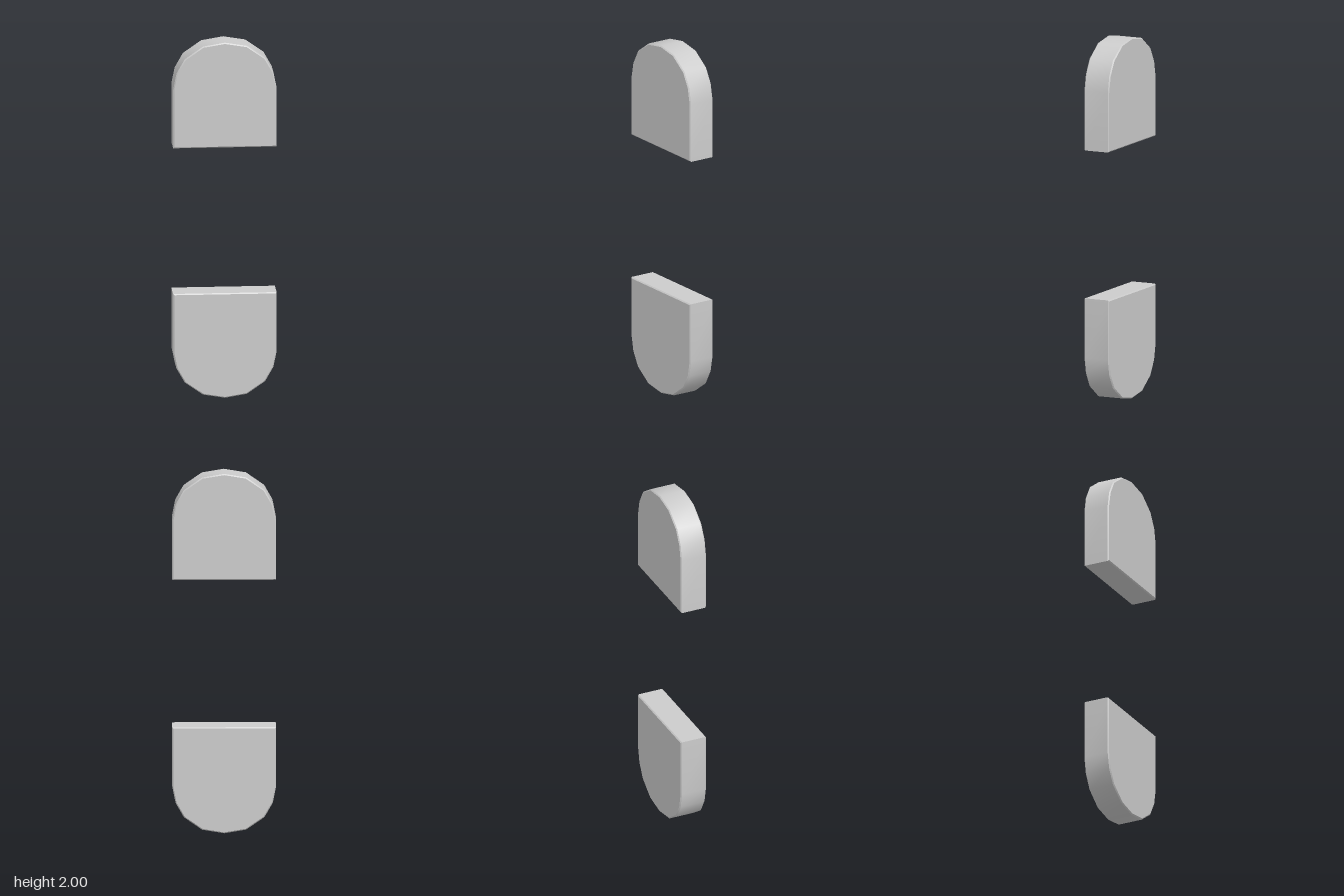
import * as THREE from 'three';
import { toCreasedNormals } from 'three/addons/utils/BufferGeometryUtils.js';

const HALF_WIDTH = 0.283, DEPTH = 0.152, BEVEL = 0.006;

// Arched slab: flat inner edge, faceted round outer end, fine bevel all round
function archedSlab() {
  const side = [[HALF_WIDTH, 1.41], [HALF_WIDTH, 1.74], [0.265, 1.83], [0.22, 1.91], [0.12, 1.98]];
  const mirrored = side.map(([x, y]) => [-x, y]).reverse();
  const outline = [...side, [0, 2], ...mirrored].map(([x, y]) => new THREE.Vector2(x, y));
  const geometry = new THREE.ExtrudeGeometry(new THREE.Shape(outline), {
    depth: DEPTH - 2 * BEVEL,
    bevelThickness: BEVEL,
    bevelSize: BEVEL,
    bevelOffset: -BEVEL,
    bevelSegments: 1,
  });
  geometry.translate(0, 0, BEVEL - DEPTH / 2);
  return toCreasedNormals(geometry, 0.6);
}

export function createModel() {
  const model = new THREE.Group();
  model.name = 'archedSlabPair';
  const material = new THREE.MeshStandardMaterial({ color: 0xcccccc });
  const geometry = archedSlab();

  const upper = new THREE.Mesh(geometry, material);
  upper.name = 'upperSlab';

  // Same slab turned upside down about the middle height
  const lower = new THREE.Mesh(geometry, material);
  lower.name = 'lowerSlab';
  lower.rotation.z = Math.PI;
  lower.position.y = 2;

  model.add(upper, lower);
  return model;
}
